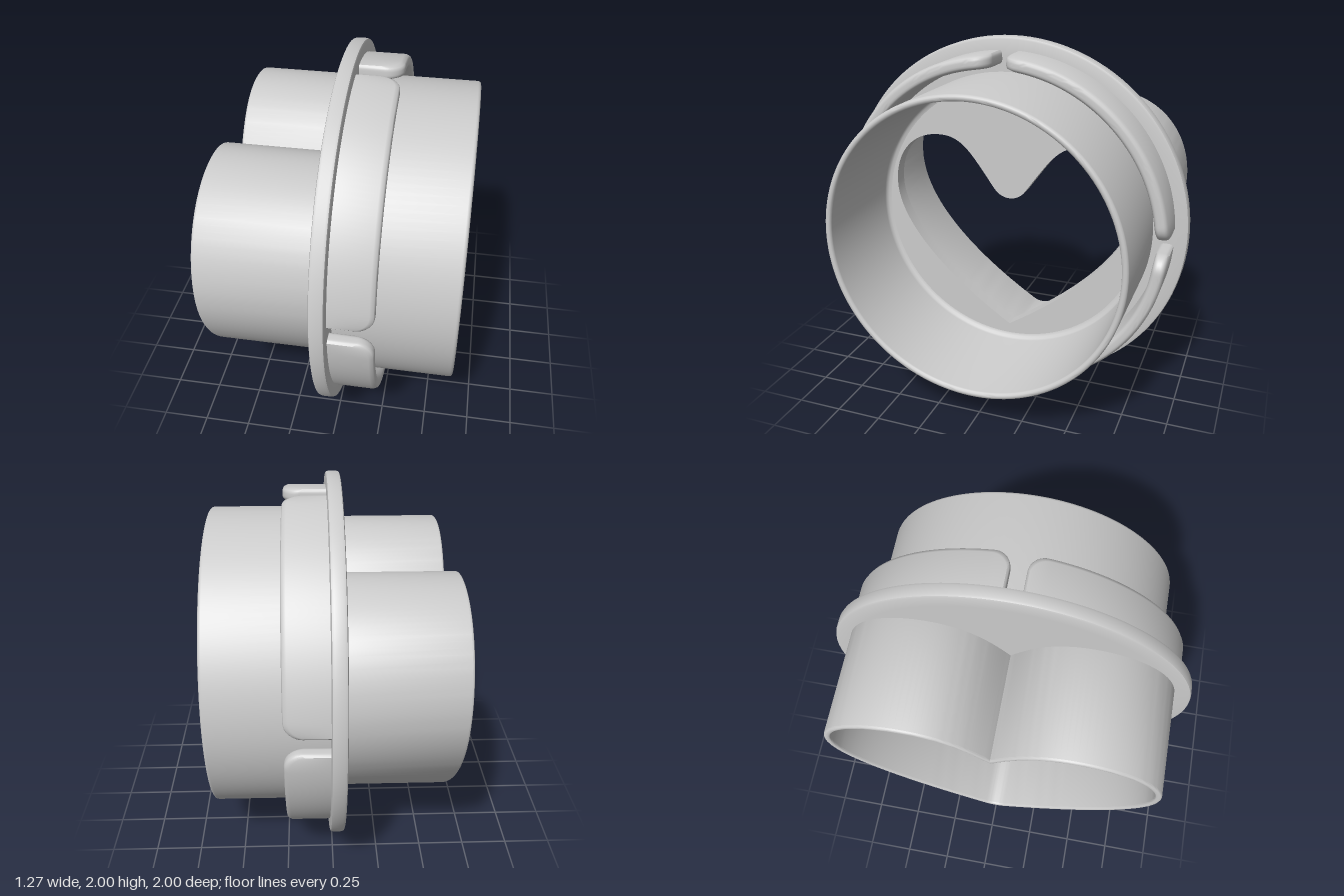
import * as THREE from 'three';
import { toCreasedNormals } from 'three/addons/utils/BufferGeometryUtils.js';

const V = (x, y) => new THREE.Vector2(x, y);
const FRONT = 0.018, BACK = -0.058; // faces of the flange along x

// Closed heart outline, grown outward by d from the opening in the flange
function heart(d) {
  const half = [];
  const add = (x, y) => {
    const p = V(x, y);
    if (!half.length || half[half.length - 1].distanceTo(p) > 1e-3) half.push(p);
  };
  // notch: rounded in the opening, a sharp point once the outline has outgrown its radius
  const slope = 0.942, r = 0.11 - d;
  if (r > 0) {
    for (let i = 0; i <= 10; i++) {
      const a = (i / 10) * slope;
      add(r * Math.sin(a), 1.215 - r * Math.cos(a));
    }
  } else add(0, 1.215 - r / Math.cos(slope));
  // lobe and flank
  const curves = [
    [V(0.089, 1.15), V(0.23, 1.344), V(0.28, 1.437), V(0.42, 1.437)],
    [V(0.42, 1.437), V(0.6, 1.437), V(0.703, 1.3), V(0.703, 1.13)],
    [V(0.703, 1.13), V(0.703, 0.86), V(0.38, 0.55), V(0, 0.31)],
  ].map(c => new THREE.CubicBezierCurve(...c));
  for (const c of curves) {
    for (let i = 1; i <= 24; i++) {
      const p = c.getPoint(i / 24), t = c.getTangent(i / 24);
      const x = p.x - t.y * d;
      if (x > 0.002) add(x, p.y + t.x * d);
    }
  }
  // slightly rounded lower tip
  const t = curves[2].getTangent(1), end = Math.atan2(-t.y, -t.x), tip = 0.7 * d;
  for (let i = 0; i <= 8; i++) {
    const a = end * (1 - i / 8);
    add(tip * Math.sin(a), 0.31 - (d - tip) / Math.cos(end) - tip * Math.cos(a));
  }
  const mirrored = half.slice(1, -1).reverse().map(p => V(-p.x, p.y));
  return [...half, ...mirrored];
}

export function createModel() {
  const group = new THREE.Group();
  const material = new THREE.MeshStandardMaterial({ color: 0xcccccc });
  const part = (name, geometry, y = 0) => {
    const mesh = new THREE.Mesh(toCreasedNormals(geometry, 0.7), material);
    mesh.name = name;
    mesh.position.y = y;
    group.add(mesh);
    return mesh;
  };
  const lathe = profile => {
    const pts = profile.map(p => V(...p));
    return new THREE.LatheGeometry([...pts, pts[0].clone()], 128).rotateZ(-Math.PI / 2);
  };

  // Flange plate with heart opening
  const plate = new THREE.Shape();
  plate.absarc(0, 1, 0.9, 0, Math.PI * 2);
  plate.holes.push(new THREE.Path(heart(0)));
  part('flangePlate', new THREE.ExtrudeGeometry(plate, {
    depth: FRONT - BACK, bevelEnabled: false, curveSegments: 128,
  }).translate(0, 0, BACK).rotateY(Math.PI / 2));

  // Rounded flange rim
  part('flangeRim', lathe([
    [0.9, BACK], [0.985, BACK], [0.996, BACK + 0.004], [1, BACK + 0.015],
    [1, FRONT - 0.015], [0.996, FRONT - 0.004], [0.985, FRONT], [0.9, FRONT],
  ]), 1);

  // Round collar with a rounded lip and a fillet at its foot
  part('collar', lathe([
    [0.75, 0], [0.815, 0], [0.815, 0.618], [0.813, 0.627], [0.806, 0.633], [0.7975, 0.635],
    [0.789, 0.633], [0.782, 0.627], [0.78, 0.618],
    [0.78, 0.045], [0.776, 0.031], [0.766, 0.022], [0.75, FRONT],
  ]), 1);

  // Heart-shaped wall; its inner outline runs the opposite way round
  const b = 0.012;
  const wall = new THREE.Shape(heart(0.19));
  wall.holes.push(new THREE.Path(heart(0.155).reverse()));
  part('heartWall', new THREE.ExtrudeGeometry(wall, {
    depth: 0.6 - 2 * b, bevelThickness: b, bevelSize: b, bevelOffset: -b, bevelSegments: 3,
  }).translate(0, 0, -0.635 + b).rotateY(Math.PI / 2));

  // Four curved tabs with rounded corners around the collar
  const gap = 0.045, R = 0.09, soft = 0.025;
  for (let k = 0; k < 4; k++) {
    const geo = new THREE.BoxGeometry(1, 1, 1, 64, 1, 8);
    const pos = geo.attributes.position;
    for (let i = 0; i < pos.count; i++) {
      const e = Math.max(0, Math.abs(pos.getZ(i)) * 0.07 - 0.035 + soft) / soft;
      const edge = soft * (1 - Math.sqrt(Math.max(0, 1 - e * e)));
      const s = 0.5 - 0.5 * Math.cos(Math.PI * (pos.getX(i) + 0.5));
      const start = gap + 0.5 * edge, span = Math.PI / 2 - 2 * start;
      const angle = start + s * span;
      const radius = 0.895 + pos.getZ(i) * 0.07;
      const inset = Math.max(0, R - Math.min(s, 1 - s) * span * 0.93);
      const corner = R - Math.sqrt(Math.max(0, R * R - inset * inset));
      const x = pos.getY(i) > 0 ? 0.245 - corner - edge : 0;
      pos.setXYZ(i, x, -radius * Math.sin(angle), radius * Math.cos(angle));
    }
    part('curvedTab' + (k + 1), geo, 1).rotation.x = (k * Math.PI) / 2;
  }
  return group;
}
